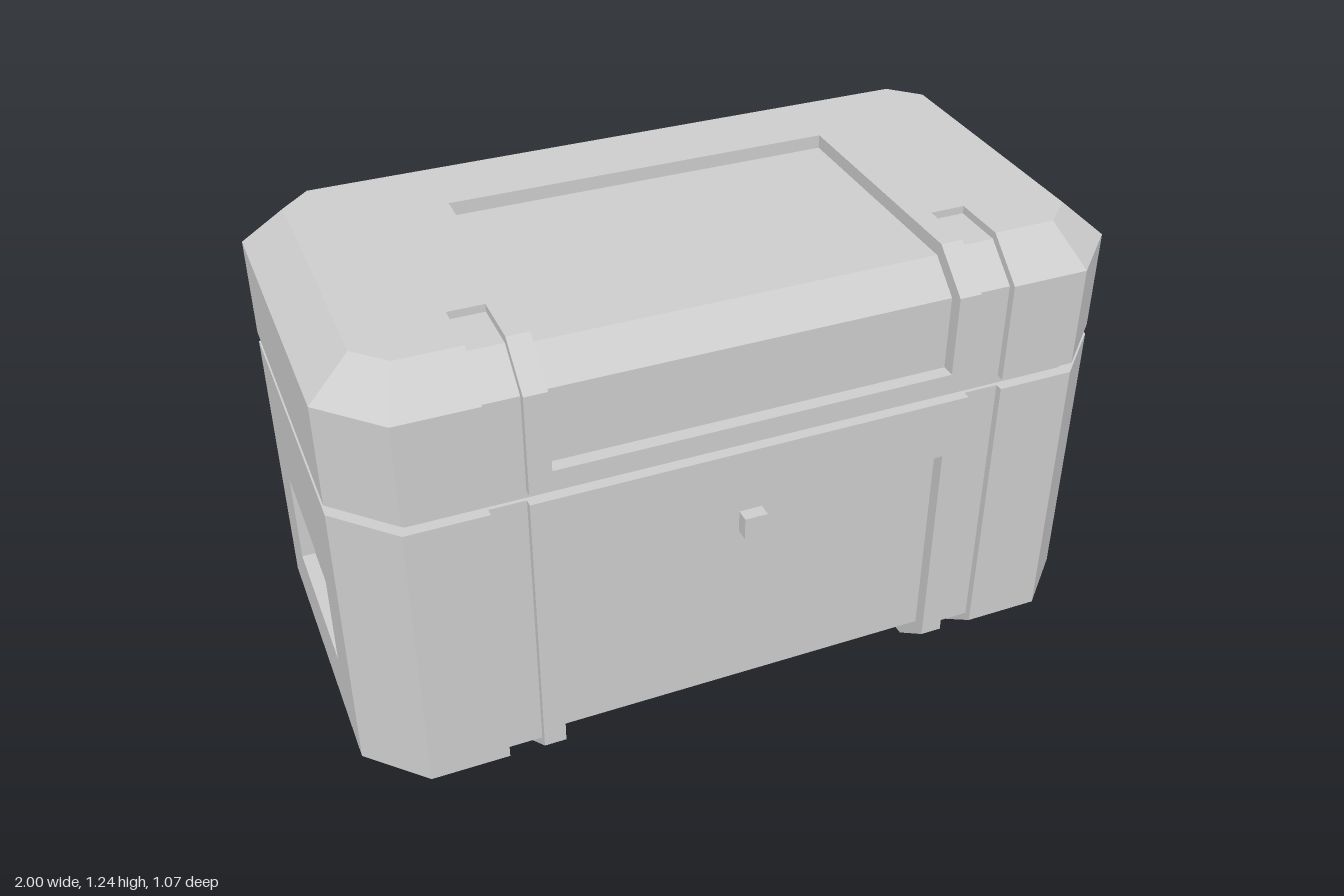
import * as THREE from 'three';

// Main dimensions: front and back planes, recess and channel depths
const F = 0.537, B = -0.522, D = 0.036, C = 0.02;
const grey = new THREE.MeshStandardMaterial({ color: 0xcccccc });
grey.name = 'grey';

function add(group, geometry, name) {
  const mesh = new THREE.Mesh(geometry, grey);
  mesh.name = name;
  group.add(mesh);
  return mesh;
}

// Extrudes a [z, y] cross-section along x from x0 to x1
function slab(section, x0, x1) {
  const shape = new THREE.Shape(section.map(([z, y]) => new THREE.Vector2(-z, y)));
  const geo = new THREE.ExtrudeGeometry(shape, { depth: x1 - x0, bevelEnabled: false });
  return geo.rotateY(Math.PI / 2).translate(x0, 0, 0);
}

// Base cross-sections
const baseFloor = [[0.2, 0], [0.2, 0.02], [-0.24, 0.02], [-0.24, 0]];
const baseBack = [[-0.413, 0], [B, 0.085], [B, 0.85]];
const basePlain = [[F, 0.85], [F, 0.085], [0.43, 0]];
const baseSections = {
  outer: [...basePlain, ...baseBack],
  plain: [...basePlain, ...baseFloor, ...baseBack],
  channel: [[F - C, 0.85], [F - C, 0.095], [0.423, C], [0.283, C], [0.283, 0], ...baseFloor, ...baseBack],
  panel: [[F, 0.85], [F, 0.685], [F - D, 0.685], [F - D, 0.102], [0.417, D], [0.283, D], [0.283, 0],
    ...baseFloor, [-0.32, 0], [-0.32, D], [-0.4, D], [B + D, 0.102], [B + D, 0.685], [B, 0.685], [B, 0.85]],
};

// Lid cross-sections
const lidBack = [[-0.413, 1.235], [B, 1.143], [B, 0.878]];
const lidPlain = [[F, 0.878], [F, 1.143], [0.43, 1.235], ...lidBack];
const lidSections = {
  outer: lidPlain,
  plain: lidPlain,
  channel: [[F - C, 0.878], [F - C, 1.134], [0.423, 1.235 - C], [0.283, 1.235 - C], [0.283, 1.235], ...lidBack],
  panel: [[F, 0.878], [F, 0.93], [F - D, 0.93], [F - D, 1.126], [0.417, 1.235 - D],
    [-0.213, 1.235 - D], [-0.213, 1.235], ...lidBack],
};

// Which section runs over which stretch of x (mirrored, except the centre)
const stretches = [['plain', 0.51, 0.567], ['channel', 0.567, 0.658], ['plain', 0.658, 0.735], ['outer', 0.735, 0.82]];

function middle(group, sections, name) {
  add(group, slab(sections.panel, -0.51, 0.51), name + 'RecessedCentre');
  for (const [kind, a, b] of stretches) {
    add(group, slab(sections[kind], a, b), name + kind + 'Left');
    add(group, slab(sections[kind], -b, -a), name + kind + 'Right');
  }
}

// Half outlines of the chamfered ends, front to back, as [x, z]
const wide = [[0.82, F], [0.86, F], [1, 0.397], [1, -0.383], [0.86, B], [0.82, B]];
const narrow = [[0.82, 0.43], [0.82, 0.43], [0.895, 0.357], [0.895, -0.34], [0.82, -0.413], [0.82, -0.413]];
const ring = (outline, y) => outline.map(([x, z]) => [x, y, z]);

// Chamfered end made of stacked rings; one side face may hold a recess
function endGeometry(rings, side, recess) {
  const pos = [];
  const tri = (a, b, c) => {
    for (const p of side > 0 ? [a, b, c] : [a, c, b]) pos.push(p[0] * side, p[1], p[2]);
  };
  const fan = (loop) => {
    for (let i = 1; i < loop.length - 1; i++) tri(loop[0], loop[i], loop[i + 1]);
  };
  const band = (a, b, closed, skip = -1) => {
    for (let i = 0; i < a.length - (closed ? 0 : 1); i++) {
      if (i === skip) continue;
      const j = (i + 1) % a.length;
      fan([a[i], a[j], b[j], b[i]]);
    }
  };
  for (let k = 0; k < rings.length - 1; k++) {
    band(rings[k], rings[k + 1], false, recess && k === recess.level ? 2 : -1);
  }
  fan([...rings[0]].reverse());
  fan(rings[rings.length - 1]);
  if (recess) {
    const lo = rings[recess.level], hi = rings[recess.level + 1];
    const { z0, z1, y0, y1 } = recess;
    const inner = (x) => [[x, y0, z1], [x, y0, z0], [x, y1, z0], [x, y1, z1]];
    band([lo[2], lo[3], hi[3], hi[2]], inner(1), true);
    band(inner(1), inner(1 - D), true);
    fan(inner(1 - D));
  }
  const geo = new THREE.BufferGeometry();
  geo.setAttribute('position', new THREE.Float32BufferAttribute(pos, 3));
  geo.computeVertexNormals();
  return geo;
}

export function createModel() {
  const model = new THREE.Group();
  model.name = 'storageChest';
  const base = new THREE.Group(), lid = new THREE.Group();
  base.name = 'base';
  lid.name = 'lid';
  model.add(base, lid);

  middle(base, baseSections, 'base');
  middle(lid, lidSections, 'lid');

  const baseRings = [ring(narrow, 0), ring(wide, 0.085), ring(wide, 0.85)];
  const lidRings = [ring(wide, 0.878), ring(wide, 1.143), ring(narrow, 1.235)];
  const handleRecess = { level: 1, z0: -0.212, z1: 0.222, y0: 0.26, y1: 0.527 };
  for (const side of [1, -1]) {
    const label = side > 0 ? 'Left' : 'Right';
    add(base, endGeometry(baseRings, side, handleRecess), 'baseEnd' + label);
    add(lid, endGeometry(lidRings, side), 'lidEnd' + label);

    // Hinge: thin leaf with a barrel
    const hinge = new THREE.Group();
    hinge.name = 'hinge' + label;
    add(hinge, new THREE.BoxGeometry(0.12, 0.115, 0.004), 'hingeLeaf').position.set(0, 0.863, B - 0.001);
    const barrel = new THREE.CylinderGeometry(0.01, 0.01, 0.12, 12).rotateZ(Math.PI / 2);
    add(hinge, barrel, 'hingeBarrel').position.set(0, 0.864, -0.527);
    hinge.position.x = side * 0.61;
    model.add(hinge);
  }

  // Inset core showing in the seam between lid and base
  const g = 0.03;
  const core = new THREE.Shape([
    [0.847, F - g], [0.968, 0.384], [0.968, -0.369], [0.847, B + g],
    [-0.847, B + g], [-0.968, -0.369], [-0.968, 0.384], [-0.847, F - g],
  ].map(([x, z]) => new THREE.Vector2(x, -z)));
  const coreGeo = new THREE.ExtrudeGeometry(core, { depth: 0.04, bevelEnabled: false });
  add(model, coreGeo.rotateX(-Math.PI / 2).translate(0, 0.844, 0), 'seamCore');

  // Small square lock on the front panel
  add(model, new THREE.BoxGeometry(0.06, 0.06, 0.046), 'lock').position.set(0, 0.615, 0.513);
  return model;
}
